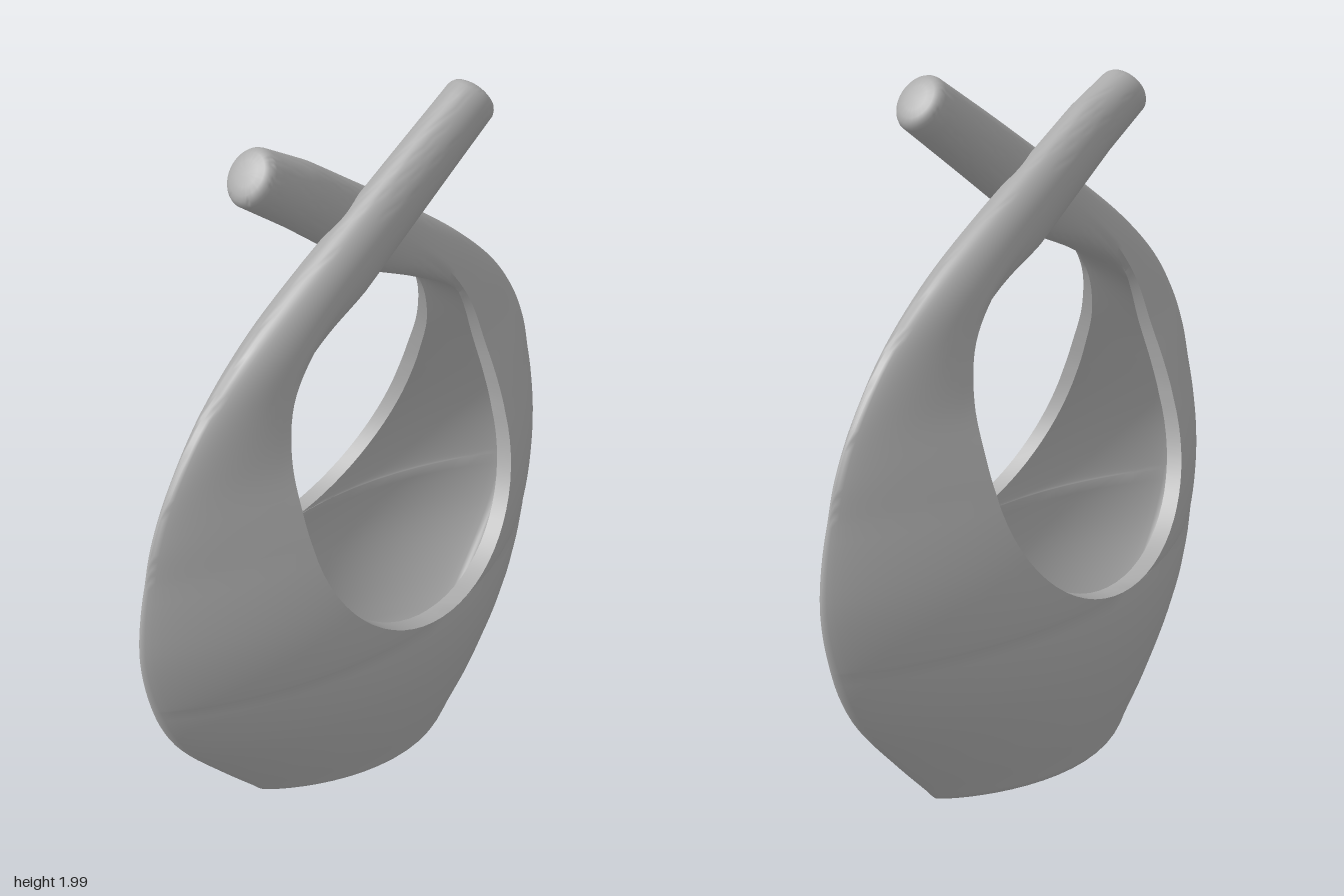
import * as THREE from 'three';
import { mergeGeometries, toCreasedNormals } from 'three/addons/utils/BufferGeometryUtils.js';

const HALF = 28;      // points on the outer (and on the inner) side of a section
const WALL = 0.05;    // shell thickness
const FLOOR = 0.06;   // height of the inside floor

// Smooth lookup through rows of [position, ...values]
function smooth(keys) {
  const n = keys[0].length - 1;
  const curve = new THREE.CubicInterpolant(keys.map(k => k[0]), keys.flatMap(k => k.slice(1)), n, new Array(n));
  return t => [...curve.evaluate(t)];
}

// Side outline and half depth of the body by height: [y, halfWidth, halfDepth]
const body = smooth([
  [0.05, 0.485, 0.25], [0.2, 0.60, 0.298], [0.4, 0.742, 0.34], [0.5, 0.79, 0.347],
  [0.6, 0.82, 0.34], [0.77, 0.842, 0.28], [0.88, 0.832, 0.24], [1.0, 0.803, 0.2], [1.1, 0.765, 0.165],
]);

// Shoulder and arm: [step, innerX, innerY, outerX, outerY, halfDepth, zOffset, roundness]
const arm = smooth([
  [0, 0.395, 0.88, 0.832, 0.88, 0.24, 0, 0],
  [1, 0.415, 1.0, 0.803, 1.0, 0.2, 0, 0],
  [2, 0.405, 1.1, 0.768, 1.11, 0.165, 0, 0.05],
  [3, 0.365, 1.22, 0.695, 1.24, 0.122, 0, 0.2],
  [4, 0.28, 1.35, 0.575, 1.38, 0.095, 0, 0.5],
  [5, 0.17, 1.45, 0.41, 1.52, 0.085, -0.01, 0.8],
  [6, 0.05, 1.53, 0.21, 1.66, 0.075, -0.028, 1],
  [7, -0.06, 1.615, 0.03, 1.775, 0.069, -0.043, 1],
  [8, -0.21, 1.73, -0.13, 1.878, 0.067, -0.058, 1],
  [9, -0.39, 1.865, -0.298, 1.982, 0.067, -0.073, 1],
]);

// One closed section: an open lens shell that blends into a round rod
function section([ix, iy, ox, oy, h, zc, round]) {
  const pts = [];
  const len = Math.hypot(ox - ix, oy - iy);
  const ux = len ? (ox - ix) / len : 0, uy = len ? (oy - iy) / len : 0;
  const edge = ox > 0.01 ? THREE.MathUtils.clamp(ix / ox, 0, 0.6) : 0;
  const lens = s => {
    const f = x => Math.pow(Math.max(0, 1 - Math.pow(x, 1.9)), 0.95);
    return f(edge + (1 - edge) * s) / f(edge);
  };
  const wall = Math.min(WALL, h * 0.5);
  const depth = Math.max(0, len - 0.08);
  for (let j = 0; j < 2 * HALF; j++) {
    const inside = j >= HALF;
    const a = Math.PI * (j % HALF) / (HALF - 1);
    const across = Math.sin(a), side = Math.cos(a);
    const z0 = (0.88 * lens(across) * Math.sign(side) + 0.12 * side);
    const shell = inside ? [depth * across, -(h - wall) * z0] : [len * across, h * z0];
    const e = Math.PI * (j + 0.5) / HALF;
    const rod = [len * (0.5 + 0.5 * Math.sin(e)), h * Math.cos(e)];
    const s = THREE.MathUtils.lerp(shell[0], rod[0], round);
    const z = THREE.MathUtils.lerp(shell[1], rod[1], round);
    const y = iy + uy * s;
    pts.push([ix + ux * s, inside ? Math.max(y, FLOOR) : y, zc + z]);
  }
  return pts;
}

// Half of the basket, from the middle of the base to the tip of its arm
function halfBasket(tipX, tipY) {
  const rows = [];
  const ring = (y, w, h) => rows.push([0, y, w, y, h, 0, 0]);

  // base with a small rounded edge
  ring(0, 0, 0);
  ring(0, 0.425, 0.222);
  ring(0.004, 0.442, 0.232);
  ring(0.014, 0.458, 0.24);
  ring(0.03, 0.471, 0.245);

  // closed bowl
  for (let i = 0; i <= 16; i++) {
    const y = 0.05 + 0.55 * i / 16;
    ring(y, ...body(y));
  }
  // side of the round opening
  for (let i = 1; i <= 16; i++) {
    const p = Math.PI / 2 * i / 16;
    const y = 1 - 0.4 * Math.cos(p);
    const [w] = body(y);
    rows.push([0.415 * Math.sin(p), y, w, y, 0.34 - 0.35 * (y - 0.6), 0, 0]);
  }
  // shoulder and crossing arm
  for (let i = 1; i <= 48; i++) {
    const t = 1 + 8 * i / 48;
    const r = arm(t);
    const k = Math.max(0, t - 8);
    r[0] += tipX * k; r[2] += tipX * k;
    r[1] += tipY * k; r[3] += tipY * k;
    r[6] = THREE.MathUtils.clamp(r[6], 0, 1);
    rows.push(r);
  }
  // softly rounded arm end
  const end = rows[rows.length - 1];
  for (const [q, out] of [[0.04, 0.009], [0.12, 0.017], [0.28, 0.023], [0.55, 0.026], [1, 0.028]]) {
    const [ix, iy, ox, oy, h, zc] = end;
    const mx = (ix + ox) / 2 - 0.77 * out, my = (iy + oy) / 2 + 0.64 * out;
    const hx = (ox - ix) / 2 * (1 - q), hy = (oy - iy) / 2 * (1 - q);
    rows.push([mx - hx, my - hy, mx + hx, my + hy, h * (1 - q), zc, 1]);
  }

  const points = rows.map(section);
  const n = 2 * HALF, pos = [];
  const triangle = (...t) => {
    // leave out the hidden wall where the two halves meet
    if (t.every(p => Math.abs(p[0]) < 1e-4 && p[1] < 0.601)) return;
    t.forEach(p => pos.push(...p));
  };
  for (let r = 0; r < points.length - 1; r++) {
    for (let j = 0; j < n; j++) {
      const k = (j + 1) % n;
      const a = points[r][j], b = points[r][k], c = points[r + 1][k], d = points[r + 1][j];
      triangle(a, b, c);
      triangle(a, c, d);
    }
  }
  const geo = new THREE.BufferGeometry();
  geo.setAttribute('position', new THREE.Float32BufferAttribute(pos, 3));
  return geo;
}

export function createModel() {
  const group = new THREE.Group();
  group.name = 'basketVase';
  const clay = new THREE.MeshStandardMaterial({ color: 0xa9a9a9 });
  clay.name = 'grey clay';

  // the back arm is a little shorter; the front arm is the other half turned round
  const backHalf = halfBasket(0.045, -0.04);
  const frontHalf = halfBasket(0, 0).rotateY(Math.PI);
  const shell = new THREE.Mesh(toCreasedNormals(mergeGeometries([backHalf, frontHalf]), 1.1), clay);
  shell.name = 'basketWithCrossedArms';
  group.add(shell);
  return group;
}
